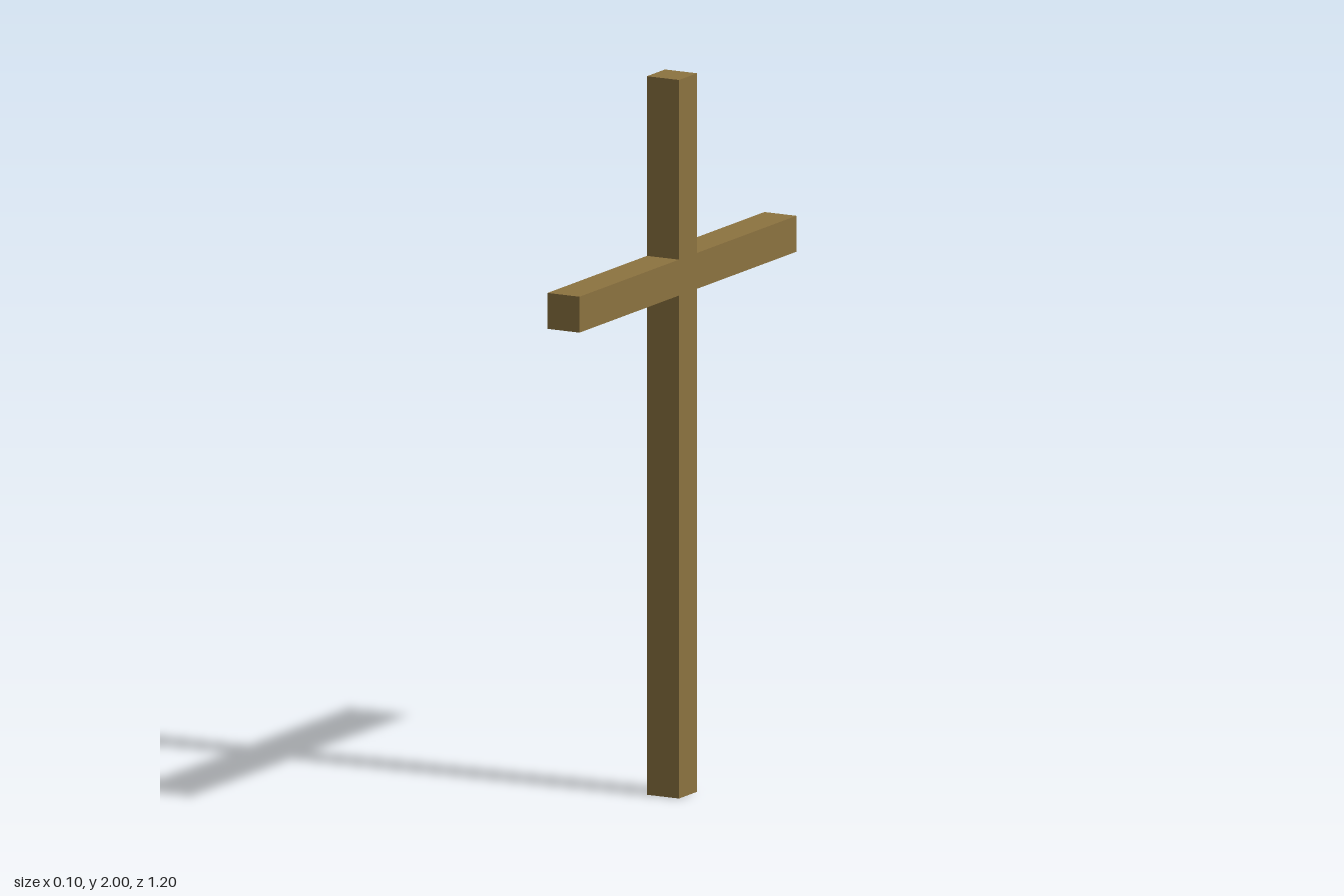
import * as THREE from 'three';

const HEIGHT = 2, SPAN = 1.2, THICK = 0.1;
const BEAM_BOTTOM = 1.4, BEAM_TOP = 1.5;

export function createModel() {
  const group = new THREE.Group();
  group.name = 'woodenCross';
  const wood = new THREE.MeshStandardMaterial({ color: 0x8c7340 });

  // Post and crossbeam as one flush outline: right half, then mirrored
  const t = THICK / 2, s = SPAN / 2;
  const half = [[t, 0], [t, BEAM_BOTTOM], [s, BEAM_BOTTOM], [s, BEAM_TOP], [t, BEAM_TOP], [t, HEIGHT]];
  const mirrored = half.map(([x, y]) => [-x, y]).reverse();
  const outline = new THREE.Shape([...half, ...mirrored].map(([x, y]) => new THREE.Vector2(x, y)));

  // Extrude to the timber thickness and turn so the beam runs along z
  const geometry = new THREE.ExtrudeGeometry(outline, { depth: THICK, bevelEnabled: false });
  geometry.translate(0, 0, -t);
  geometry.rotateY(Math.PI / 2);

  const cross = new THREE.Mesh(geometry, wood);
  cross.name = 'postAndCrossbeam';
  group.add(cross);
  return group;
}
